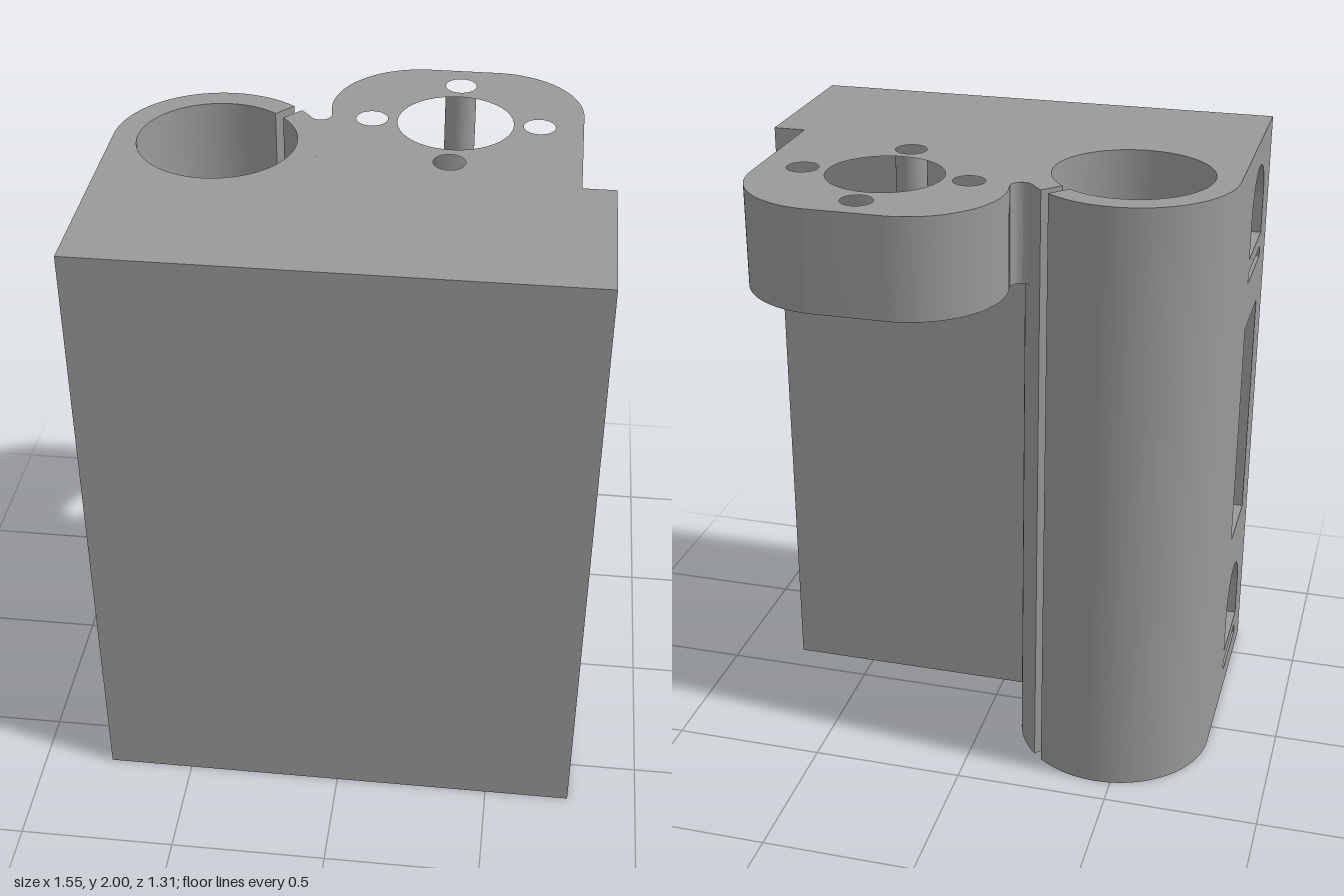
import * as THREE from 'three';
import { toCreasedNormals } from 'three/addons/utils/BufferGeometryUtils.js';

const PI = Math.PI;
const BACK = 0.1;   // z of the block's rear wall
const SEAM = 0.2;   // z where the drilled slab meets the rear profile
const CLAMP = { x: -0.45, y: 0.085, outer: 0.325, bore: 0.248 };

function extrude(shape, depth) {
  const geo = new THREE.ExtrudeGeometry(shape, { depth, bevelEnabled: false, curveSegments: 48 });
  return toCreasedNormals(geo, 0.5);
}

// Plan shapes are drawn in (x, -z) and raised from y0 to y1
function extrudeUp(shape, y0, y1) {
  return extrude(shape, y1 - y0).rotateX(-PI / 2).translate(0, y0, 0);
}

function circleHole(x, y, r) {
  return new THREE.Path().absarc(x, y, r, 0, 2 * PI, true);
}

function rectPath(path, u0, u1, y0, y1) {
  path.moveTo(u0, y0).lineTo(u1, y0).lineTo(u1, y1).lineTo(u0, y1).closePath();
  return path;
}

// Front slab, drilled from side to side; drawn in (-z, y)
function slabGeometry() {
  const shape = rectPath(new THREE.Shape(), -0.655, -SEAM, 0, 2);
  const u0 = -0.515, u1 = -0.245, r = (u1 - u0) / 2;
  shape.holes.push(rectPath(new THREE.Path(), u0, u1, 0.61, 1.4));
  for (const y of [0.08, 1.558]) {
    // cable slot with an arched opening above it
    shape.holes.push(rectPath(new THREE.Path(), u0, u1, y, y + 0.036));
    const arch = new THREE.Path();
    arch.moveTo(u0, y + 0.084).lineTo(u1, y + 0.084);
    arch.absarc((u0 + u1) / 2, y + 0.218, r, 0, PI, false);
    arch.closePath();
    shape.holes.push(arch);
  }
  return extrude(shape, 1.55).rotateY(PI / 2).translate(-0.775, 0, 0);
}

// Angle and x where the clamp cylinder meets the rear wall
const joinAngle = Math.asin((-BACK - CLAMP.y) / CLAMP.outer);
const joinX = CLAMP.x + CLAMP.outer * Math.cos(joinAngle);

// Rear strip of the block together with the split tubular clamp
function clampGeometry() {
  const { x, y, outer, bore } = CLAMP;
  const slit = 0.8325, half = 0.019;
  const a = Math.asin(half / outer), b = Math.asin(half / bore);
  const shape = new THREE.Shape();
  shape.moveTo(-0.775, -SEAM).lineTo(0.775, -SEAM).lineTo(0.775, -BACK).lineTo(joinX, -BACK);
  shape.absarc(x, y, outer, joinAngle, slit - a, false);
  shape.absarc(x, y, bore, slit - b, slit + b, true);
  shape.absarc(x, y, outer, slit + a, PI, false);
  shape.closePath();
  return extrudeUp(shape, 0, 2);
}

// Motor flange: rounded plate that blends into the clamp through a small notch
function flangeGeometry() {
  const { x, y, outer } = CLAMP;
  const t = 0.6, notchR = 0.034, r = 0.29, cx = 0.163, cy = 0.365;
  const nx = x + (outer + notchR) * Math.cos(t);
  const ny = y + (outer + notchR) * Math.sin(t);
  const out = Math.atan2(cy - ny, cx - nx);
  const shape = new THREE.Shape();
  shape.moveTo(joinX, -BACK);
  shape.absarc(x, y, outer, joinAngle, t, false);
  shape.absarc(nx, ny, notchR, t + PI, out + 2 * PI, false);
  shape.absarc(cx, cy, r, out + PI, PI / 2, true);
  shape.absarc(0.382, cy, r, PI / 2, 0, true);
  shape.lineTo(0.672, -BACK);
  shape.closePath();

  // centre bore and four screw holes
  const mx = 0.272, my = 0.281;
  shape.holes.push(circleHole(mx, my, 0.182));
  for (let i = 0; i < 4; i++) {
    const q = i * PI / 2;
    shape.holes.push(circleHole(mx + 0.263 * Math.cos(q), my + 0.263 * Math.sin(q), 0.05));
  }
  return extrudeUp(shape, 1.68, 2);
}

export function createModel() {
  const grey = new THREE.MeshStandardMaterial({ color: 0x999999 });
  grey.name = 'grey plastic';
  const group = new THREE.Group();
  group.name = 'motorBracket';
  const parts = {
    drilledSlab: slabGeometry(),
    splitClamp: clampGeometry(),
    motorFlange: flangeGeometry(),
  };
  for (const [name, geometry] of Object.entries(parts)) {
    const mesh = new THREE.Mesh(geometry, grey);
    mesh.name = name;
    group.add(mesh);
  }
  return group;
}
